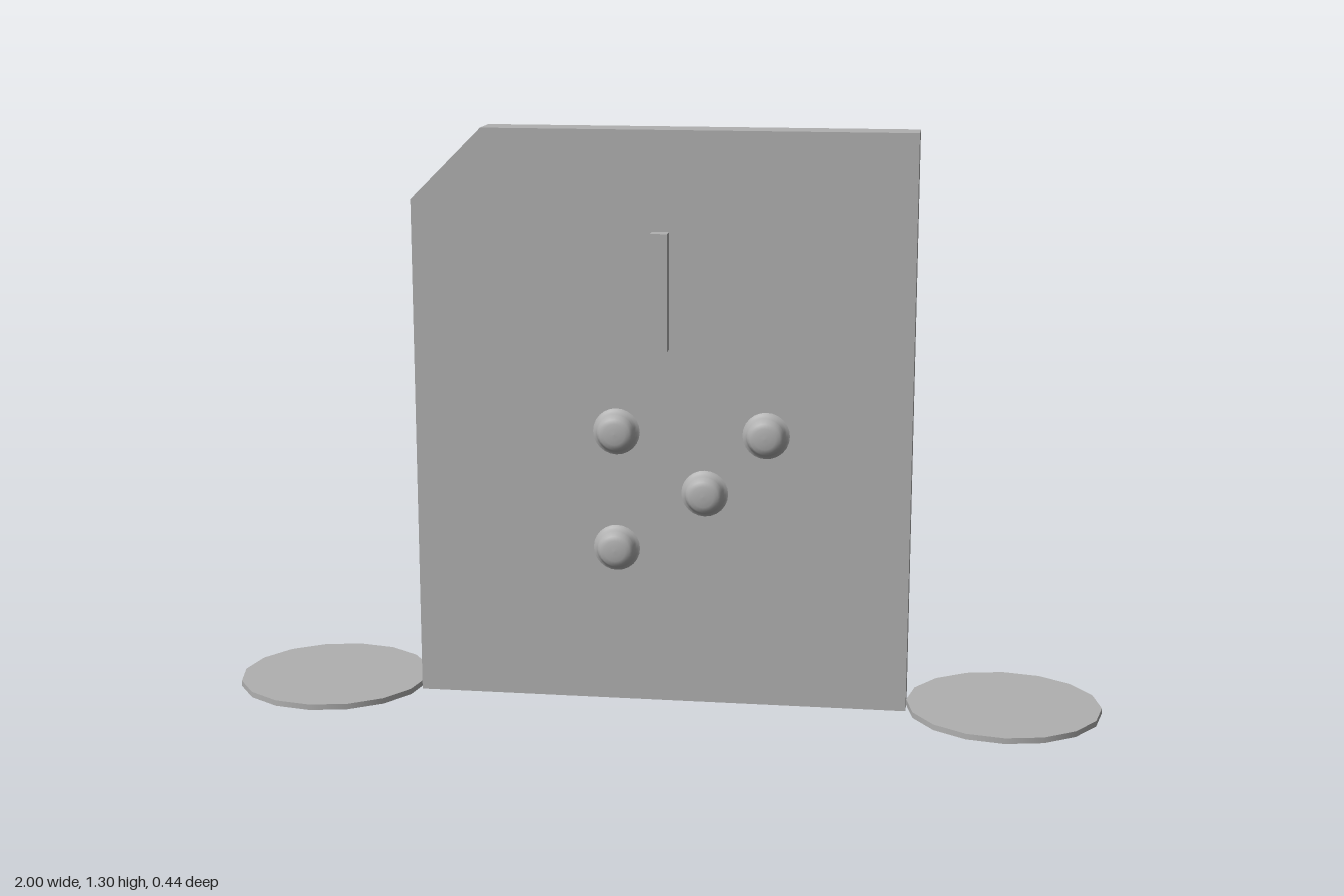
import * as THREE from 'three';

export function createModel() {
  const model = new THREE.Group();
  const grey = new THREE.MeshStandardMaterial({ color: 0xb0b0b0 });
  grey.name = 'plain grey';

  const add = (name, geometry, x = 0, y = 0, z = 0, parent = model) => {
    const mesh = new THREE.Mesh(geometry, grey);
    mesh.name = name;
    mesh.position.set(x, y, z);
    parent.add(mesh);
    return mesh;
  };

  // Upright panel with one clipped top corner
  const half = 0.56, height = 1.305, thick = 0.087, face = thick / 2;
  const outline = new THREE.Shape([
    [-half, 0], [half, 0], [half, height], [-0.4, height], [-half, 1.145],
  ].map(([x, y]) => new THREE.Vector2(x, y)));
  add('panel', new THREE.ExtrudeGeometry(outline, { depth: thick, bevelEnabled: false }), 0, 0, -face);

  // Raised vertical bar
  add('bar', new THREE.BoxGeometry(0.038, 0.262, 0.036), 0, 0.951, face + 0.018);

  // Studs: a flared collar topped by a shallow dome, turned to face forward
  const lathe = (points) => new THREE.LatheGeometry(
    points.map(([r, h]) => new THREE.Vector2(r, h)), 24).rotateX(Math.PI / 2);
  const collar = lathe([[0.053, 0], [0.048, 0.003], [0.044, 0.009], [0.042, 0.017]]);
  const dome = lathe([[0.042, 0.017], [0.039, 0.025], [0.034, 0.031], [0.024, 0.034], [0.012, 0.0355], [0, 0.036]]);
  for (const [x, y] of [[-0.1, 0.63], [0.237, 0.63], [0.1, 0.493], [-0.1, 0.36]]) {
    const stud = new THREE.Group();
    stud.name = 'stud';
    stud.position.set(x, y, face);
    add('studCollar', collar, 0, 0, 0, stud);
    add('studDome', dome, 0, 0, 0, stud);
    model.add(stud);
  }

  // Thin round feet at both bottom corners
  const foot = new THREE.CylinderGeometry(0.22, 0.22, 0.013, 16);
  add('leftFoot', foot, 0.78, 0.0065, 0);
  add('rightFoot', foot, -0.78, 0.0065, 0);

  return model;
}
